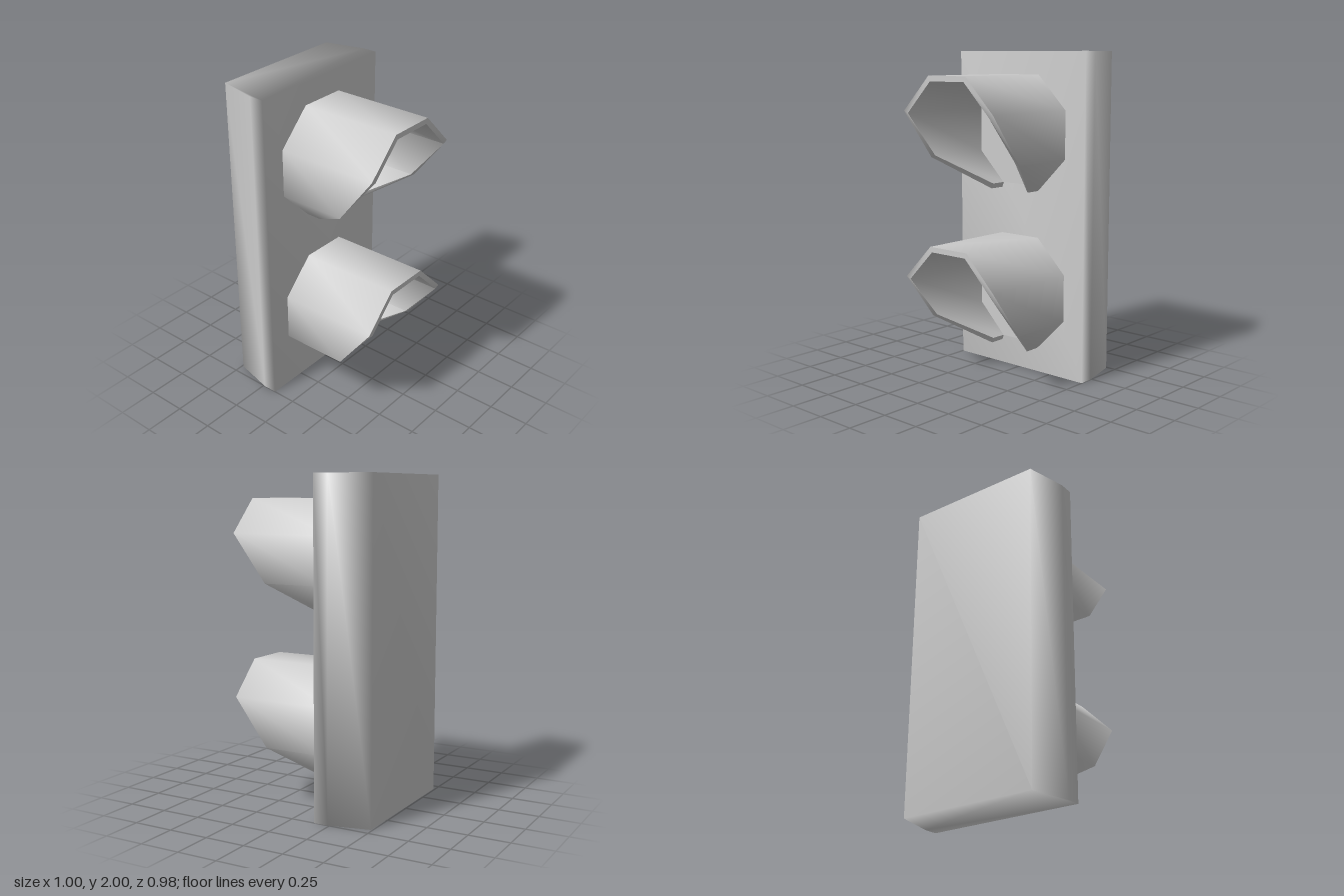
import * as THREE from 'three';
import { mergeVertices, toCreasedNormals } from 'three/addons/utils/BufferGeometryUtils.js';

const BACK = -0.15; // plane of the housing front
const material = new THREE.MeshStandardMaterial({ color: 0xcccccc });

function addMesh(parent, geometry, name) {
  const mesh = new THREE.Mesh(geometry, material);
  mesh.name = name;
  parent.add(mesh);
  return mesh;
}

// Upright six-sided prism with chamfered rear corners and shared smooth normals
function housingGeometry() {
  const plan = [[-0.44, 0.49], [-0.5, 0.24], [-0.5, 0.15], [0.5, 0.15], [0.5, 0.24], [0.44, 0.49]];
  const shape = new THREE.Shape(plan.map(([x, y]) => new THREE.Vector2(x, y)));
  let g = new THREE.ExtrudeGeometry(shape, { depth: 2, bevelEnabled: false });
  g.rotateX(-Math.PI / 2);
  g.deleteAttribute('uv');
  g.deleteAttribute('normal');
  g = mergeVertices(g);
  g.computeVertexNormals();
  return g;
}

// Octagonal hood, open underneath, its front edge cut back towards the bottom
function visorGeometry(outer, inner) {
  const frontZ = [-0.05, 0.27, 0.49, 0.49, 0.49, 0.49, 0.27, -0.05];
  const positions = [];
  const index = [];
  frontZ.forEach((z, i) => {
    const a = THREE.MathUtils.degToRad(-67.5 + 45 * i);
    for (const [r, d] of [[outer, BACK], [outer, z], [inner, z], [inner, BACK]]) {
      positions.push(r * Math.cos(a), r * Math.sin(a), d);
    }
  });
  const quad = (a, b, c, d) => index.push(a, b, c, a, c, d);
  for (let i = 0; i < 7; i++) {
    for (let k = 0; k < 4; k++) {
      const n = (k + 1) % 4;
      quad(i * 4 + k, i * 4 + 4 + k, i * 4 + 4 + n, i * 4 + n);
    }
  }
  quad(0, 1, 2, 3);
  quad(31, 30, 29, 28);
  const g = new THREE.BufferGeometry();
  g.setAttribute('position', new THREE.Float32BufferAttribute(positions, 3));
  g.setIndex(index);
  return toCreasedNormals(g, THREE.MathUtils.degToRad(55));
}

export function createModel() {
  const model = new THREE.Group();
  model.name = 'signalLight';
  addMesh(model, housingGeometry(), 'housing');

  // Two identical lamps, one above the other
  const outer = 0.354 / Math.cos(Math.PI / 8);
  const inner = 0.322 / Math.cos(Math.PI / 8);
  const visor = visorGeometry(outer, inner);
  const lens = new THREE.CircleGeometry(inner, 8, Math.PI / 8);
  [['lower', 0.505], ['upper', 1.505]].forEach(([name, y]) => {
    const lamp = new THREE.Group();
    lamp.name = name + 'Lamp';
    lamp.position.y = y;
    addMesh(lamp, visor, 'visor');
    addMesh(lamp, lens, 'lens').position.z = BACK + 0.004;
    model.add(lamp);
  });
  return model;
}
